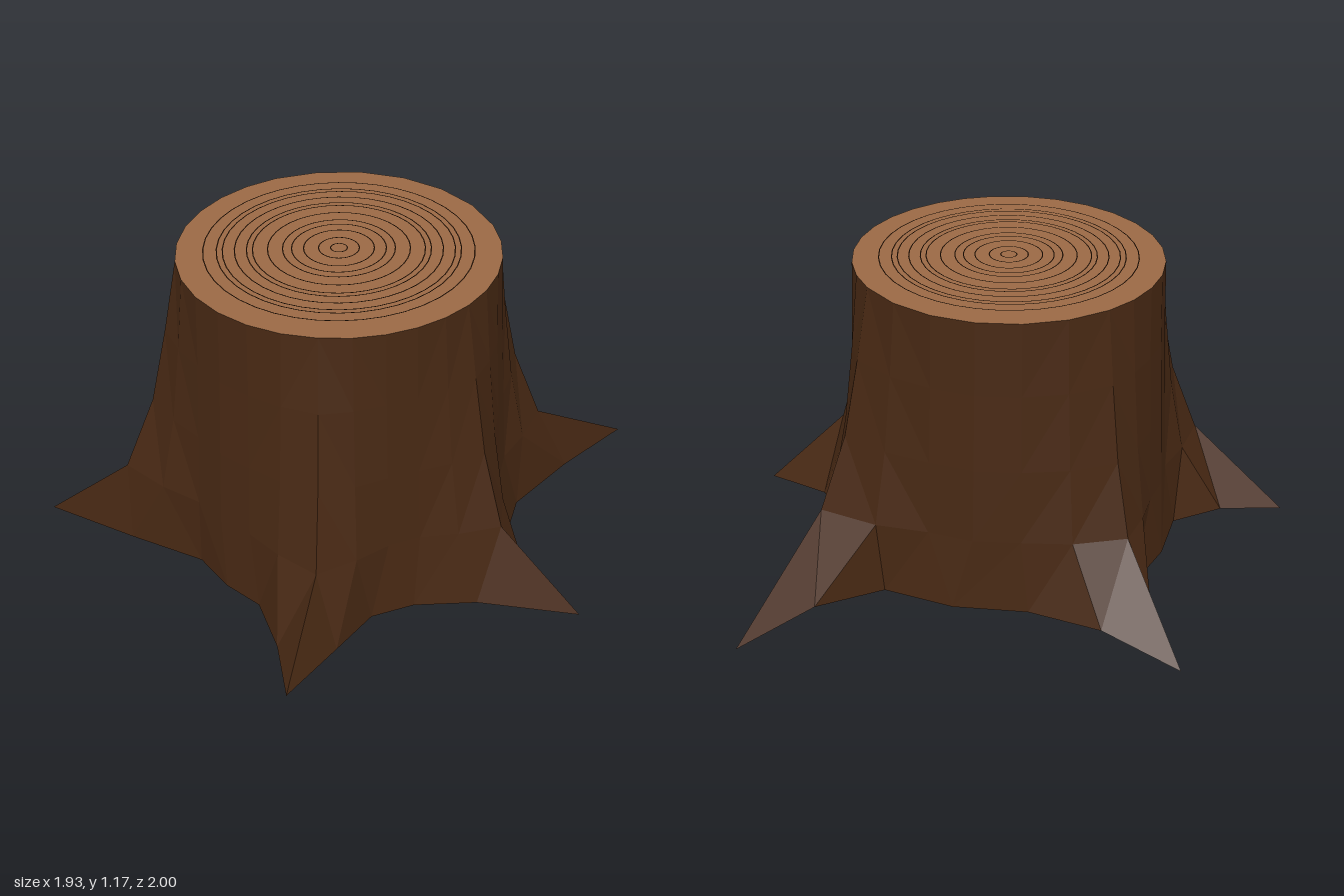
import * as THREE from 'three';

const CX = 0.026, CZ = 0.183, TOP = 1.165, TOP_R = 0.546, SOLE = 0.078;

// Ground outline (x, z), running back -> +x -> front -> -x
const outline = [
  [0.23, -1.0], [0.32, -0.64], [0.39, -0.34], [0.51, -0.19], [0.69, -0.12],
  [0.965, -0.13], [0.73, 0.13], [0.61, 0.31], [0.57, 0.46], [0.63, 0.65],
  [0.695, 0.9], [0.5, 0.8], [0.29, 0.73], [0.14, 0.76], [-0.03, 0.755], [-0.29, 0.88],
  [-0.655, 1.0], [-0.52, 0.79], [-0.44, 0.6], [-0.535, 0.4], [-0.585, 0.17], [-0.76, 0.04],
  [-0.965, -0.06], [-0.68, -0.14], [-0.42, -0.22], [-0.2, -0.37], [0.05, -0.45], [0.16, -0.69],
];
const N = outline.length;

// Root ridges: outline index, tip height, bearing in degrees and extra radius where the root flares out
const roots = [
  { i: 0, y: 0.03, deg: 20, bulge: 0.17 },
  { i: 5, y: 0.05, deg: 77, bulge: 0.13 },
  { i: 10, y: 0.06, deg: 133, bulge: 0.13 },
  { i: 16, y: 0.04, deg: 209, bulge: 0.18 },
  { i: 22, y: 0.0, deg: 282, bulge: 0.105 },
];
const tipAt = (i) => roots.find((root) => root.i === i % N);

// Trunk columns spread evenly between ridges; each flank lies halfway down the root's side
const columns = [];
roots.forEach((a, k) => {
  const last = k === roots.length - 1;
  const b = last ? { ...roots[0], i: N, deg: roots[0].deg + 360 } : roots[k + 1];
  const count = b.i - a.i, middle = a.i + count / 2;
  for (let i = a.i; i < b.i; i++) {
    const angle = THREE.MathUtils.degToRad(a.deg + ((b.deg - a.deg) * (i - a.i)) / count);
    let bulge = 0;
    if (i === a.i) bulge = a.bulge;
    else if (i === a.i + 1) bulge = a.bulge * 0.43;
    else if (i === b.i - 1) bulge = b.bulge * 0.43;
    columns.push({ angle, bulge, rising: i >= middle - 0.5 });
  }
});

function trunkRing(y, radius, bulgeScale) {
  return columns.map(({ angle, bulge }) => {
    const r = radius + bulge * bulgeScale;
    return [CX + Math.sin(angle) * r, y, CZ - Math.cos(angle) * r];
  });
}

function createBark() {
  const rings = [
    outline.map(([x, z], i) => [x, tipAt(i)?.y ?? SOLE, z]),
    trunkRing(0.35, 0.58, 1),
    trunkRing(0.62, 0.567, 0.48),
    trunkRing(0.9, 0.553, 0.23),
    trunkRing(TOP, TOP_R, 0),
  ];
  const positions = rings.flat(2);
  positions.push(CX, SOLE, CZ);
  const centre = rings.length * N;
  const index = [];
  for (let i = 0; i < N; i++) {
    const j = (i + 1) % N;
    // Sides: each quad is split from its low valley corner to its high ridge corner
    for (let k = 0; k < rings.length - 1; k++) {
      const a = k * N + i, b = k * N + j, c = b + N, d = a + N;
      if (columns[i].rising) index.push(b, a, c, a, d, c);
      else index.push(b, a, d, b, d, c);
    }
    // Underside: a flat sole, with each root tip bending down from it
    if (tipAt(i)) {
      const before = (i + N - 1) % N;
      index.push(before, i, j, centre, before, j);
    } else if (!tipAt(j)) index.push(centre, i, j);
  }
  const geometry = new THREE.BufferGeometry();
  geometry.setAttribute('position', new THREE.Float32BufferAttribute(positions, 3));
  geometry.setIndex(index);
  const flat = geometry.toNonIndexed();
  flat.computeVertexNormals();
  return flat;
}

export function createModel() {
  const stump = new THREE.Group();
  stump.name = 'treeStump';
  const material = (color) => new THREE.MeshStandardMaterial({ color, flatShading: true });
  const add = (name, geometry, mat, parent = stump) => {
    const mesh = new THREE.Mesh(geometry, mat);
    mesh.name = name;
    parent.add(mesh);
  };

  // Trunk with its flared roots
  const bark = material(0x472813);
  add('barkAndRoots', createBark(), bark);

  // Sawn face, sharing the trunk's rim
  const rim = trunkRing(TOP, TOP_R, 0).map(([x, , z]) => new THREE.Vector2(x, -z));
  const face = new THREE.ShapeGeometry(new THREE.Shape(rim));
  face.rotateX(-Math.PI / 2).translate(0, TOP, 0);
  add('cutFace', face, material(0x9a6944));

  // Unevenly spaced growth rings lying just above the sawn face
  const growthRings = new THREE.Group();
  growthRings.name = 'growthRings';
  growthRings.position.set(CX, TOP + 0.006, CZ);
  stump.add(growthRings);
  for (const r of [0.03, 0.07, 0.12, 0.16, 0.19, 0.24, 0.29, 0.31, 0.35, 0.39, 0.41, 0.455]) {
    const ring = new THREE.RingGeometry(r - 0.004, r, 40).rotateX(-Math.PI / 2);
    add('growthRing', ring, bark, growthRings);
  }
  return stump;
}
